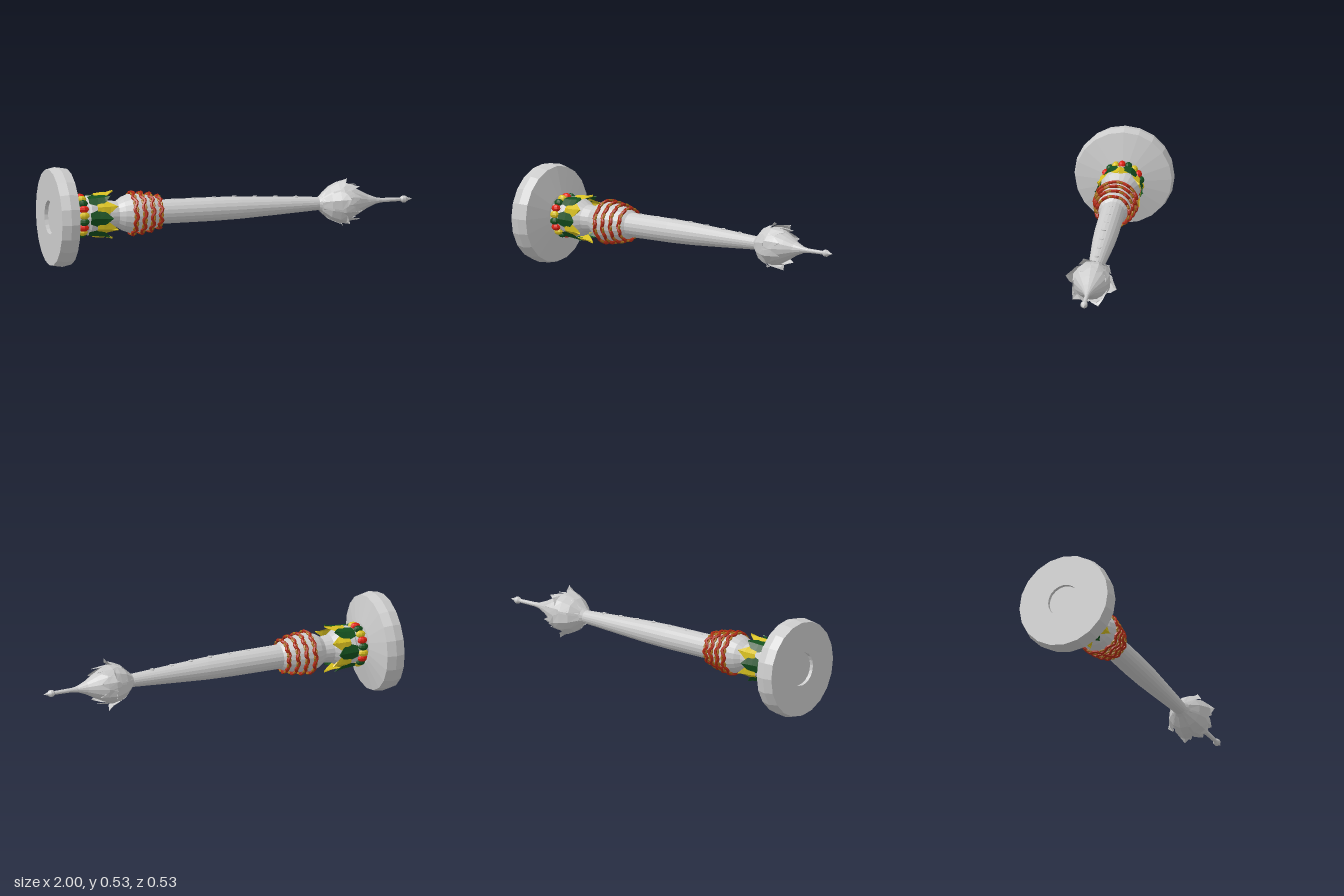
import * as THREE from 'three';

const material = (color = 0xcccccc, side = THREE.FrontSide) =>
  new THREE.MeshStandardMaterial({ color, side, flatShading: true });
const GREY = 0xcccccc, RED = 0xb02a14, GOLD = 0xd8c020, GREEN = 0x14501e;

function add(parent, name, geometry, mat) {
  const mesh = new THREE.Mesh(geometry, mat);
  mesh.name = name;
  parent.add(mesh);
  return mesh;
}

// Turned part along the x axis from [x, radius] pairs
function turned(profile, sides = 20) {
  const points = profile.map(([x, r]) => new THREE.Vector2(r, x));
  return new THREE.LatheGeometry(points, sides).rotateZ(-Math.PI / 2);
}

// Keeled leaf wrapped round the x axis, from [x, radius, halfWidth] rows
function leaf(rows, keel) {
  const pos = [], index = [];
  rows.forEach(([x, r, w], i) => {
    for (const s of [-1, 0, 1]) {
      const a = (s * w) / r, rr = r + (s === 0 ? keel : 0);
      pos.push(x, rr * Math.cos(a), rr * Math.sin(a));
    }
    if (i === 0) return;
    for (let k = 0; k < 2; k++) {
      const a = (i - 1) * 3 + k, b = a + 3;
      index.push(a, a + 1, b, b, a + 1, b + 1);
    }
  });
  const g = new THREE.BufferGeometry();
  g.setAttribute('position', new THREE.Float32BufferAttribute(pos, 3));
  g.setIndex(index);
  g.computeVertexNormals();
  return g;
}

function leafRing(parent, name, rows, count, offset, color, keel = 0.006) {
  const group = new THREE.Group();
  group.name = name;
  const g = leaf(rows, keel), m = material(color, THREE.DoubleSide);
  for (let i = 0; i < count; i++) {
    add(group, name + 'Leaf', g, m).rotation.x = ((i + offset) / count) * Math.PI * 2;
  }
  parent.add(group);
}

// Wavy cord tied round the x axis
function cord(x, r, thickness, phase) {
  const pts = [];
  for (let i = 0; i < 36; i++) {
    const a = (i / 36) * Math.PI * 2, wave = Math.sin(a * 9 + phase);
    pts.push(new THREE.Vector3(x + 0.008 * wave, (r + 0.003 * wave) * Math.cos(a), (r + 0.003 * wave) * Math.sin(a)));
  }
  return new THREE.TubeGeometry(new THREE.CatmullRomCurve3(pts, true), 72, thickness, 6, true);
}

export function createModel() {
  const model = new THREE.Group();
  model.name = 'windInstrument';
  const body = new THREE.Group();
  body.name = 'instrument';
  body.position.y = 0.268;
  model.add(body);
  const grey = material(GREY);

  // Broad end disc with a shallow bore in its outer face
  add(body, 'endDisc', turned([
    [-0.98, 0], [-0.98, 0.09], [-1, 0.09], [-1, 0.257], [-0.95, 0.267], [-0.9, 0.257], [-0.865, 0.11], [-0.865, 0.09],
  ]), grey);

  // Neck, swelling and long tapering shaft
  add(body, 'shaft', turned([
    [-0.87, 0.095], [-0.8, 0.098], [-0.79, 0.108], [-0.72, 0.1], [-0.68, 0.075], [-0.63, 0.07], [-0.6, 0.09],
    [-0.56, 0.105], [-0.5, 0.102], [-0.45, 0.092], [-0.4, 0.078], [-0.385, 0.065],
    [-0.1, 0.064], [0.05, 0.06], [0.25, 0.049], [0.42, 0.039], [0.49, 0.035],
  ]), grey);

  // Finger holes along the top
  for (let i = 0; i < 7; i++) {
    const x = -0.318 + i * 0.113;
    const r = x < 0.05 ? 0.062 : 0.06 - (x - 0.05) * 0.056;
    add(body, 'fingerHole', new THREE.CylinderGeometry(0.012, 0.012, 0.012, 10), grey).position.set(x, r - 0.003, 0);
  }

  // Ring of coloured beads
  const beads = new THREE.Group();
  beads.name = 'beadRing';
  body.add(beads);
  const beadGeometry = new THREE.SphereGeometry(0.02, 8, 6).scale(1.4, 1, 1);
  const beadMaterials = [0xe02010, GOLD, GREEN].map((c) => material(c));
  for (let i = 0; i < 18; i++) {
    const a = (i / 18) * Math.PI * 2;
    add(beads, 'bead', beadGeometry, beadMaterials[i % 3]).position.set(-0.833, 0.1 * Math.cos(a), 0.1 * Math.sin(a));
  }

  // Coloured leaf collars on the neck
  leafRing(body, 'greenCollar', [[-0.8, 0.109, 0.03], [-0.75, 0.112, 0.05], [-0.71, 0.116, 0.03], [-0.68, 0.125, 0.001]],
    6, 0.5, GREEN);
  leafRing(body, 'goldCollar', [[-0.76, 0.108, 0.03], [-0.725, 0.112, 0.055], [-0.69, 0.112, 0.03], [-0.65, 0.122, 0.001]],
    6, 0, GOLD, 0.01);

  // Cords bound round the swelling
  const red = material(RED), amber = material(0xa8701c);
  [[-0.548, 0.112], [-0.5, 0.107], [-0.452, 0.099], [-0.405, 0.085]].forEach(([x, r], i) => {
    add(body, 'redCord', cord(x, r, 0.009, i), red);
    add(body, 'amberCord', cord(x, r, 0.006, i + Math.PI), amber);
  });

  // Bud finial ending in a thin mouthpiece
  add(body, 'budFinial', turned([
    [0.48, 0.034], [0.515, 0.058], [0.55, 0.083], [0.6, 0.098], [0.65, 0.09], [0.7, 0.065], [0.75, 0.037],
    [0.8, 0.017], [0.83, 0.012], [0.935, 0.01], [0.945, 0.018], [0.96, 0.019], [0.975, 0.009], [1, 0],
  ], 16), grey);

  // Two layers of petals round the bud
  leafRing(body, 'innerPetals', [[0.5, 0.05, 0.02], [0.55, 0.09, 0.04], [0.61, 0.102, 0.05], [0.66, 0.097, 0.028], [0.7, 0.092, 0.001]],
    8, 0.5, GREY, 0.003);
  leafRing(body, 'outerPetals', [[0.495, 0.045, 0.02], [0.54, 0.088, 0.04], [0.585, 0.109, 0.052], [0.615, 0.118, 0.035], [0.63, 0.138, 0.001]],
    6, 0.25, GREY, 0.004);

  return model;
}
